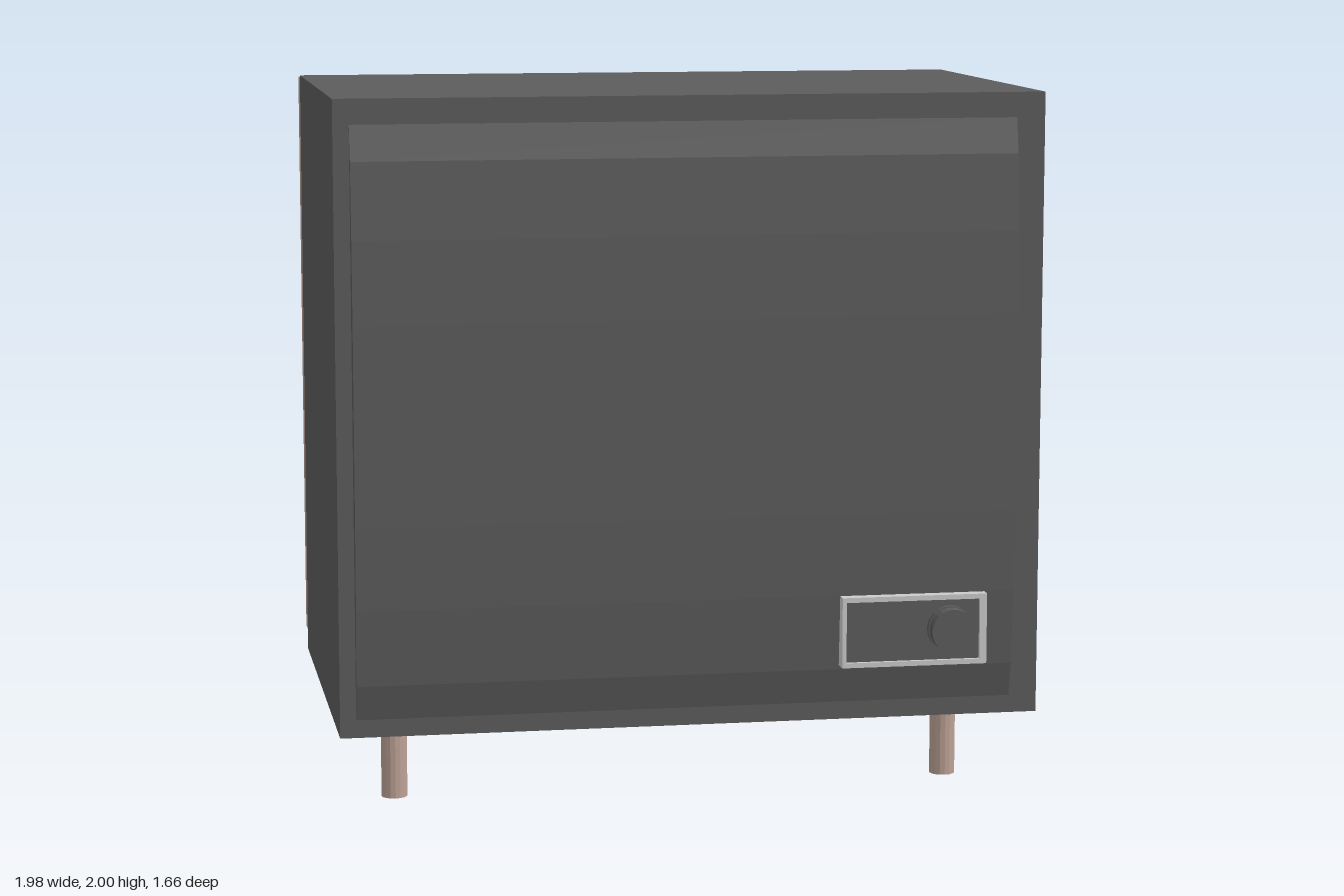
import * as THREE from 'three';

const mat = (color) => new THREE.MeshStandardMaterial({ color, flatShading: true });
const GREY = mat(0xcccccc), DARK = mat(0x5c5c5c), BROWN = mat(0xbda295);
const BLACK = mat(0x3c3c3c), RED = mat(0xc0493c), ORANGE = mat(0xc09048), GREEN = mat(0x5f9a5f);

export function createModel() {
  const root = new THREE.Group();
  const add = (name, geo, material) => {
    const mesh = new THREE.Mesh(geo, material);
    mesh.name = name;
    root.add(mesh);
    return mesh;
  };
  // Box given by its limits on each axis
  const box = (name, material, x0, x1, y0, y1, z0, z1) =>
    add(name, new THREE.BoxGeometry(x1 - x0, y1 - y0, z1 - z0), material)
      .position.set((x0 + x1) / 2, (y0 + y1) / 2, (z0 + z1) / 2);
  // Cylinder whose axis runs along z
  const disc = (name, material, x, y, z0, z1, r, sides = 20) => {
    const geo = new THREE.CylinderGeometry(r, r, z1 - z0, sides).rotateX(Math.PI / 2);
    add(name, geo, material).position.set(x, y, (z0 + z1) / 2);
  };
  // Panel bowed in height: [height fraction, bulge] pairs extruded across the width
  const bow = [[0, 0], [0.06, 0.022], [0.19, 0.036], [0.33, 0.043], [0.67, 0.043], [0.81, 0.036], [0.94, 0.022], [1, 0]];
  const bowed = (width, y0, y1, back) => {
    const s = new THREE.Shape();
    s.moveTo(-back, y0);
    bow.forEach(([t, d]) => s.lineTo(d, y0 + t * (y1 - y0)));
    s.lineTo(-back, y1);
    return new THREE.ExtrudeGeometry(s, { depth: width, bevelEnabled: false }).translate(0, 0, -width / 2);
  };

  // Cabinet and its bowed rear cover
  box('cabinet', DARK, -0.99, 0.99, 0.24, 2, -0.46, 0.72);
  add('rearCover', bowed(1.855, 0.29, 1.93, 0.02).rotateY(-Math.PI / 2), DARK).position.set(-0.018, 0, 0.72);

  // Hollow front surround, open underneath behind the rail
  for (const s of [-1, 1]) {
    const x = s * 0.9375;
    box('surroundSide', BROWN, x - 0.035, x + 0.035, 0.25, 1.98, -0.77, -0.46);
  }
  box('surroundTop', BROWN, -0.9025, 0.9025, 1.905, 1.98, -0.77, -0.46);
  box('surroundRail', BROWN, -0.9025, 0.9025, 0.25, 0.49, -0.77, -0.6);

  // Screen and the dark strip under it
  add('screen', bowed(1.804, 0.515, 1.904, 0.1).rotateY(Math.PI / 2), GREY).position.z = -0.645;
  box('screenSill', DARK, -0.9025, 0.9025, 0.485, 0.52, -0.65, -0.56);

  // Control panel with its knobs, slats, display and lamps
  box('controlPanel', DARK, -0.9, 0.895, 0.285, 0.485, -0.79, -0.765);
  for (const x of [0.37, 0.52, 0.64]) {
    box('knobLabel', GREY, x - 0.045, x + 0.045, 0.44, 0.47, -0.798, -0.785);
    disc('knobBase', DARK, x, 0.4, -0.81, -0.785, 0.04);
    disc('knob', BLACK, x, 0.4, -0.828, -0.81, 0.03);
    box('knobGrip', DARK, x - 0.006, x + 0.006, 0.37, 0.43, -0.832, -0.82);
  }
  for (const y of [0.36, 0.4, 0.44])
    box('slat', GREY, -0.28, 0.3, y - 0.01, y + 0.01, -0.797, -0.785);
  box('display', GREY, -0.7, -0.32, 0.34, 0.445, -0.8, -0.785);
  for (let i = 0; i < 12; i++)
    box('displayRib', GREY, -0.685 + i * 0.03, -0.67 + i * 0.03, 0.35, 0.365, -0.803, -0.798);
  [[-0.745, GREEN], [-0.79, ORANGE], [-0.83, RED]].forEach(([x, m]) =>
    box('lamp', m, x - 0.014, x + 0.014, 0.365, 0.395, -0.8, -0.785));

  // Dial plate
  box('dialPlate', GREY, 0.72, 0.875, 0.34, 0.475, -0.8, -0.785);
  const ring = new THREE.TorusGeometry(0.036, 0.007, 6, 20);
  add('dialRing', ring, DARK).position.set(0.797, 0.408, -0.801);
  disc('dialCentre', GREY, 0.797, 0.408, -0.808, -0.795, 0.018);
  for (const x of [0.738, 0.857])
    for (const y of [0.36, 0.455]) disc('dialStud', DARK, x, y, -0.807, -0.795, 0.009, 10);

  // Rear control box: raised rim, inset face and knob
  const rim = new THREE.Shape([[0.41, 0.4], [0.825, 0.4], [0.825, 0.6], [0.41, 0.6]].map((p) => new THREE.Vector2(...p)));
  rim.holes.push(new THREE.Path([[0.422, 0.414], [0.422, 0.586], [0.805, 0.586], [0.805, 0.414]].map((p) => new THREE.Vector2(...p))));
  add('rearControlRim', new THREE.ExtrudeGeometry(rim, { depth: 0.05, bevelEnabled: false }), GREY).position.z = 0.738;
  box('rearControlFace', DARK, 0.42, 0.807, 0.412, 0.588, 0.735, 0.777);
  disc('rearKnobBase', DARK, 0.72, 0.503, 0.77, 0.793, 0.065, 24);
  disc('rearKnob', DARK, 0.72, 0.503, 0.793, 0.828, 0.062, 24);

  // Legs, set slightly unevenly: x, z, foot height
  [[-0.815, 0.44, 0], [0.79, 0.437, 0], [-0.775, -0.483, 0], [0.79, -0.42, 0.025]].forEach(([x, z, y]) => {
    add('leg', new THREE.CylinderGeometry(0.037, 0.037, 0.255 - y, 16), BROWN).position.set(x, (0.255 + y) / 2, z);
  });
  return root;
}
